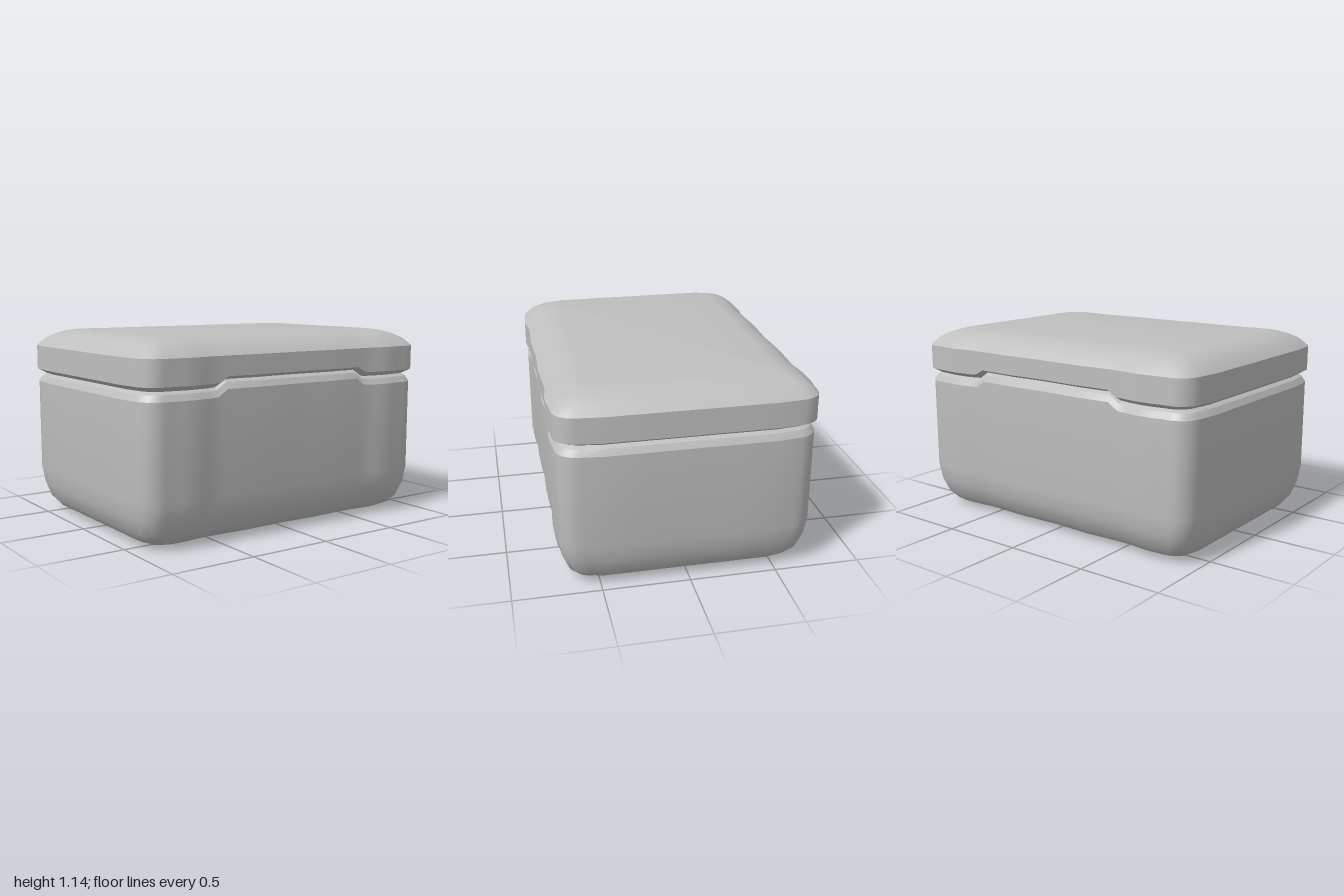
import * as THREE from 'three';
import { toCreasedNormals } from 'three/addons/utils/BufferGeometryUtils.js';

// One horizontal outline: rounded rectangle with slight swellings near the corners
function outline([y, insetX, insetZ, lift = 0], halfX, halfZ) {
  const hx = halfX - insetX, hz = halfZ - insetZ;
  const r = Math.max(0.04, 0.13 - insetX * 0.4);
  const cx = hx - r, cz = hz - r;
  const quarter = [];
  for (const z of [0, 0.25, 0.48]) quarter.push([hx, Math.min(z, cz)]);
  for (let i = 0; i <= 6; i++) {
    const a = (i / 6) * Math.PI / 2;
    quarter.push([cx + (r - 0.014) * Math.cos(a), cz + r * Math.sin(a)]);
  }
  for (const x of [0.82, 0.76, 0.7, 0.64, 0.58, 0.53, 0.47, 0.25, 0]) {
    const bump = 0.014 * Math.max(0, Math.cos((x - 0.7) / 0.13 * Math.PI / 2));
    quarter.push([Math.min(x, cx), hz + bump]);
  }
  const back = [...quarter].reverse();
  const loop = [
    ...quarter,
    ...back.slice(1).map(([x, z]) => [-x, z]),
    ...quarter.slice(1).map(([x, z]) => [-x, -z]),
    ...back.slice(1, -1).map(([x, z]) => [x, -z]),
  ];
  // The seam steps up in the middle of the front and back
  return loop.map(([x, z]) => {
    const step = THREE.MathUtils.clamp((0.535 - Math.abs(x)) / 0.065, 0, 1);
    return [x, y + lift * step, z];
  });
}

// Skin a stack of outlines, closing the bottom or the top
function shell(profile, halfX, halfZ, capBottom) {
  const rings = profile.map((p) => outline(p, halfX, halfZ));
  const n = rings[0].length, index = [];
  const points = rings.flat();
  for (let j = 0; j < rings.length - 1; j++) {
    for (let i = 0; i < n; i++) {
      const a = j * n + i, b = j * n + (i + 1) % n;
      index.push(a, a + n, b, b, a + n, b + n);
    }
  }
  const centre = points.length;
  points.push([0, capBottom ? profile[0][0] : profile.at(-1)[0], 0]);
  const base = capBottom ? 0 : (rings.length - 1) * n;
  for (let i = 0; i < n; i++) {
    const a = base + i, b = base + (i + 1) % n;
    if (capBottom) index.push(centre, a, b);
    else index.push(centre, b, a);
  }
  const g = new THREE.BufferGeometry();
  g.setAttribute('position', new THREE.Float32BufferAttribute(points.flat(), 3));
  g.setIndex(index);
  return toCreasedNormals(g, 0.45);
}

export function createModel() {
  const group = new THREE.Group();
  group.name = 'liddedBox';
  const grey = new THREE.MeshStandardMaterial({ color: 0xbfbfbf });
  grey.name = 'lightGrey';
  const add = (name, geometry) => {
    const mesh = new THREE.Mesh(geometry, grey);
    mesh.name = name;
    group.add(mesh);
  };

  // Rows are height, inset in x, inset in z, seam lift
  add('body', shell([
    [0, 0.19, 0.2],
    [0.012, 0.13, 0.14],
    [0.035, 0.085, 0.09],
    [0.08, 0.045, 0.05],
    [0.17, 0.015, 0.015],
    [0.27, 0, 0],
    [0.815, 0, 0, 0.043],
    [0.85, 0.02, 0.02, 0.043],
    [0.866, 0.045, 0.045, 0.043],
  ], 0.995, 0.72, true));

  add('lid', shell([
    [0.866, 0.045, 0.045, 0.043],
    [0.893, 0, 0, 0.035],
    [1.04, 0, 0],
    [1.085, 0.045, 0.045],
    [1.115, 0.1, 0.1],
    [1.133, 0.15, 0.16],
    [1.14, 0.2, 0.21],
  ], 1.0, 0.73, false));

  return group;
}
